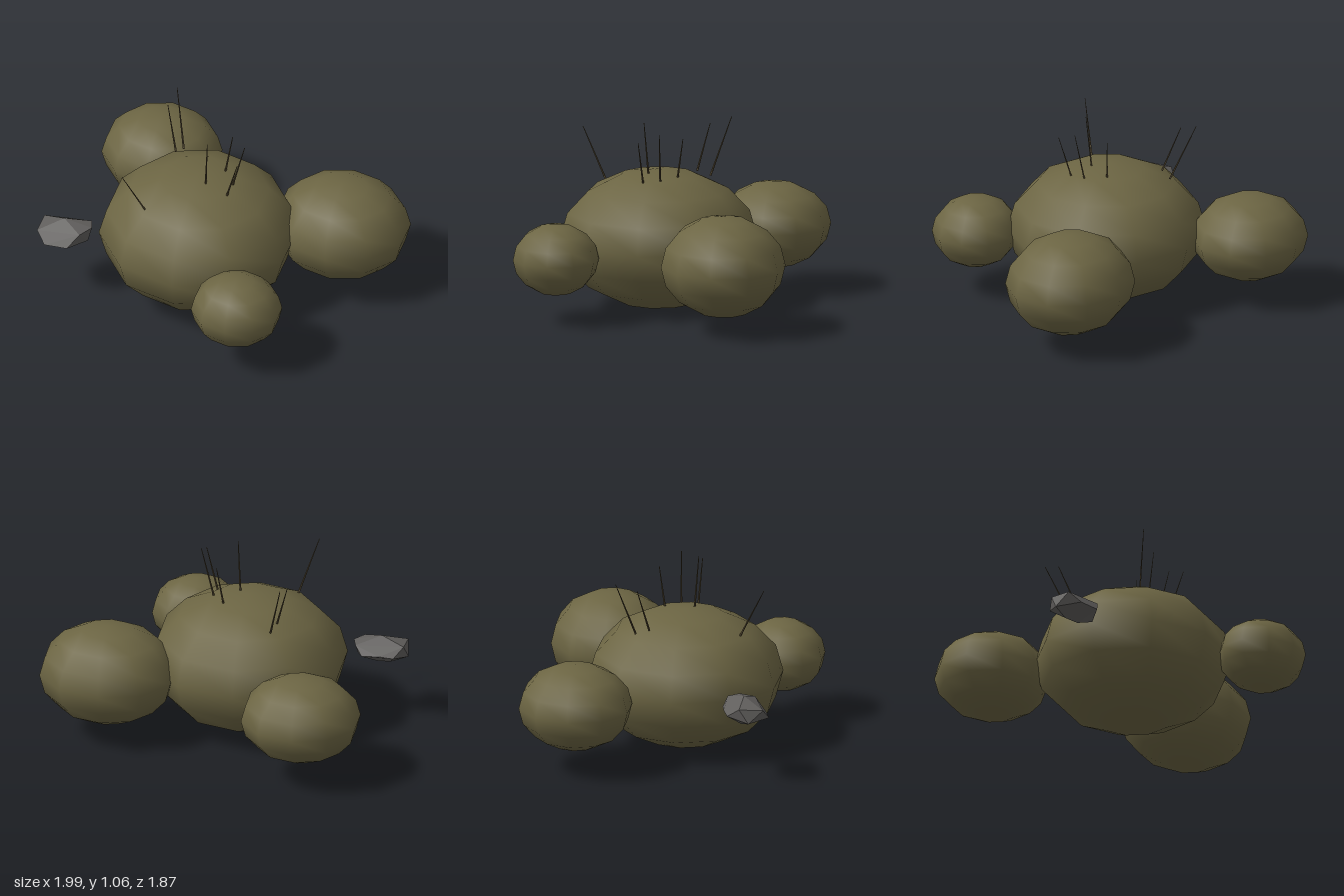
import * as THREE from 'three';
import { ConvexGeometry } from 'three/addons/geometries/ConvexGeometry.js';

const v = (a) => new THREE.Vector3(...a);

export function createModel() {
  const model = new THREE.Group();
  const foliage = new THREE.MeshStandardMaterial({ color: 0x6c6543 });
  foliage.name = 'olive foliage';
  const bark = new THREE.MeshStandardMaterial({ color: 0x564a33 });
  bark.name = 'dry twig brown';
  const stone = new THREE.MeshStandardMaterial({ color: 0x605e5c, flatShading: true });
  stone.name = 'grey stone';

  const add = (name, geometry, material) => {
    const mesh = new THREE.Mesh(geometry, material);
    mesh.name = name;
    model.add(mesh);
    return mesh;
  };

  // Bushes: squashed ten-sided spheres with a vertex row facing front
  const bushes = [
    ['mainBush', [-0.13, 0.4, 0.075], [0.56, 0.392, 0.555]],
    ['leftBush', [0.62, 0.385, -0.215], [0.39, 0.285, 0.35]],
    ['backBush', [-0.54, 0.38, -0.615], [0.34, 0.242, 0.322]],
    ['frontBush', [0.265, 0.37, 0.69], [0.257, 0.202, 0.242]],
  ];
  for (const [name, centre, radii] of bushes) {
    const geometry = new THREE.SphereGeometry(1, 10, 8).rotateY(Math.PI / 2);
    geometry.scale(...radii);
    add(name, geometry, foliage).position.set(...centre);
  }

  // Twigs: thin tapered sticks, each from its base to its tip
  const twigs = [
    [[-0.365, 0.685, 0.345], [-0.465, 0.975, 0.465]],
    [[-0.305, 0.71, -0.235], [-0.38, 1.03, -0.362]],
    [[-0.33, 0.735, -0.163], [-0.4, 0.99, -0.243]],
    [[-0.003, 0.76, -0.02], [0.033, 0.993, -0.047]],
    [[-0.073, 0.76, 0.135], [-0.055, 1.07, 0.163]],
    [[0.065, 0.74, 0.083], [0.143, 1.04, 0.097]],
    [[0.06, 0.74, 0.178], [0.133, 0.995, 0.215]],
  ];
  for (const [base, tip] of twigs) {
    const start = v(base), along = v(tip).sub(start);
    const twig = add('twig', new THREE.CylinderGeometry(0.002, 0.006, along.length(), 4), bark);
    twig.position.copy(start).addScaledVector(along, 0.5);
    twig.quaternion.setFromUnitVectors(new THREE.Vector3(0, 1, 0), along.normalize());
  }

  // Rock: small faceted hull beside the main bush
  add('rock', new ConvexGeometry([
    [-1, 0.37, 0.29], [-0.98, 0.45, 0.24], [-0.985, 0.44, 0.375],
    [-0.93, 0.38, 0.42], [-0.8, 0.38, 0.42], [-0.93, 0.4, 0.18],
    [-0.85, 0.41, 0.175], [-0.75, 0.4, 0.185], [-0.71, 0.45, 0.22],
    [-0.69, 0.455, 0.29], [-0.71, 0.37, 0.3], [-0.74, 0.45, 0.37],
    [-0.85, 0.49, 0.29], [-0.82, 0.33, 0.29], [-0.9, 0.34, 0.27],
  ].map(v)), stone);

  return model;
}
